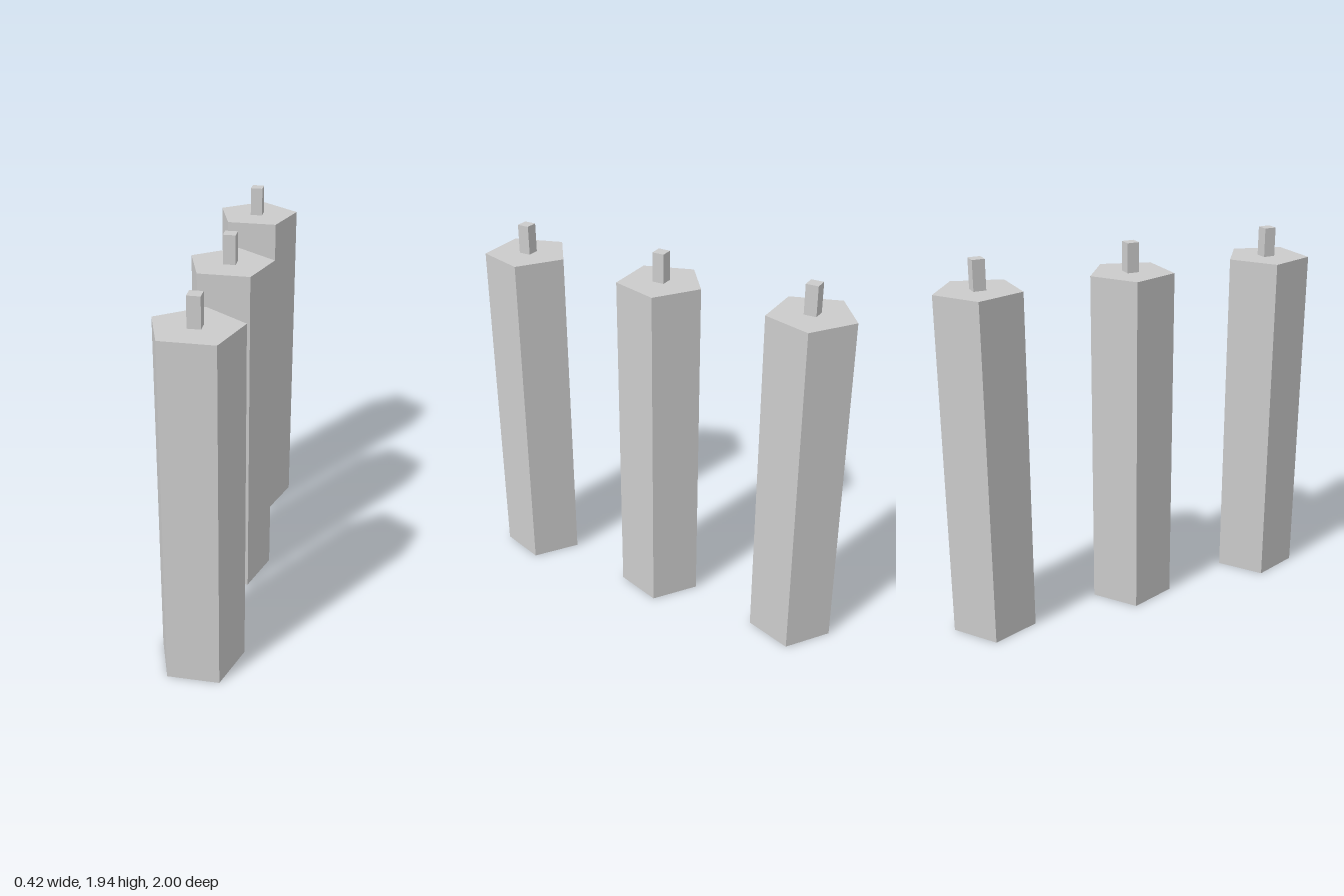
import * as THREE from 'three';

export function createModel() {
  const model = new THREE.Group();
  model.name = 'candles';
  const material = new THREE.MeshStandardMaterial({ color: 0xcccccc, flatShading: true });

  const radius = 0.221, bodyHeight = 1.793, wickHeight = 0.15, wickWidth = 0.063;

  // Pentagonal prism with a corner pointing to the back
  const bodyGeometry = new THREE.CylinderGeometry(radius, radius, bodyHeight, 5, 1, false, Math.PI);
  bodyGeometry.translate(0, bodyHeight / 2, 0);

  // Square wick standing on the top face
  const wickGeometry = new THREE.BoxGeometry(wickWidth, wickHeight, wickWidth);
  wickGeometry.translate(0, bodyHeight + wickHeight / 2, 0);

  // Three candles in a row from back to front
  for (const z of [-0.779, 0.021, 0.821]) {
    const candle = new THREE.Group();
    candle.name = 'candle';
    const body = new THREE.Mesh(bodyGeometry, material);
    body.name = 'candleBody';
    const wick = new THREE.Mesh(wickGeometry, material);
    wick.name = 'wick';
    candle.add(body, wick);
    candle.position.z = z;
    model.add(candle);
  }
  return model;
}
